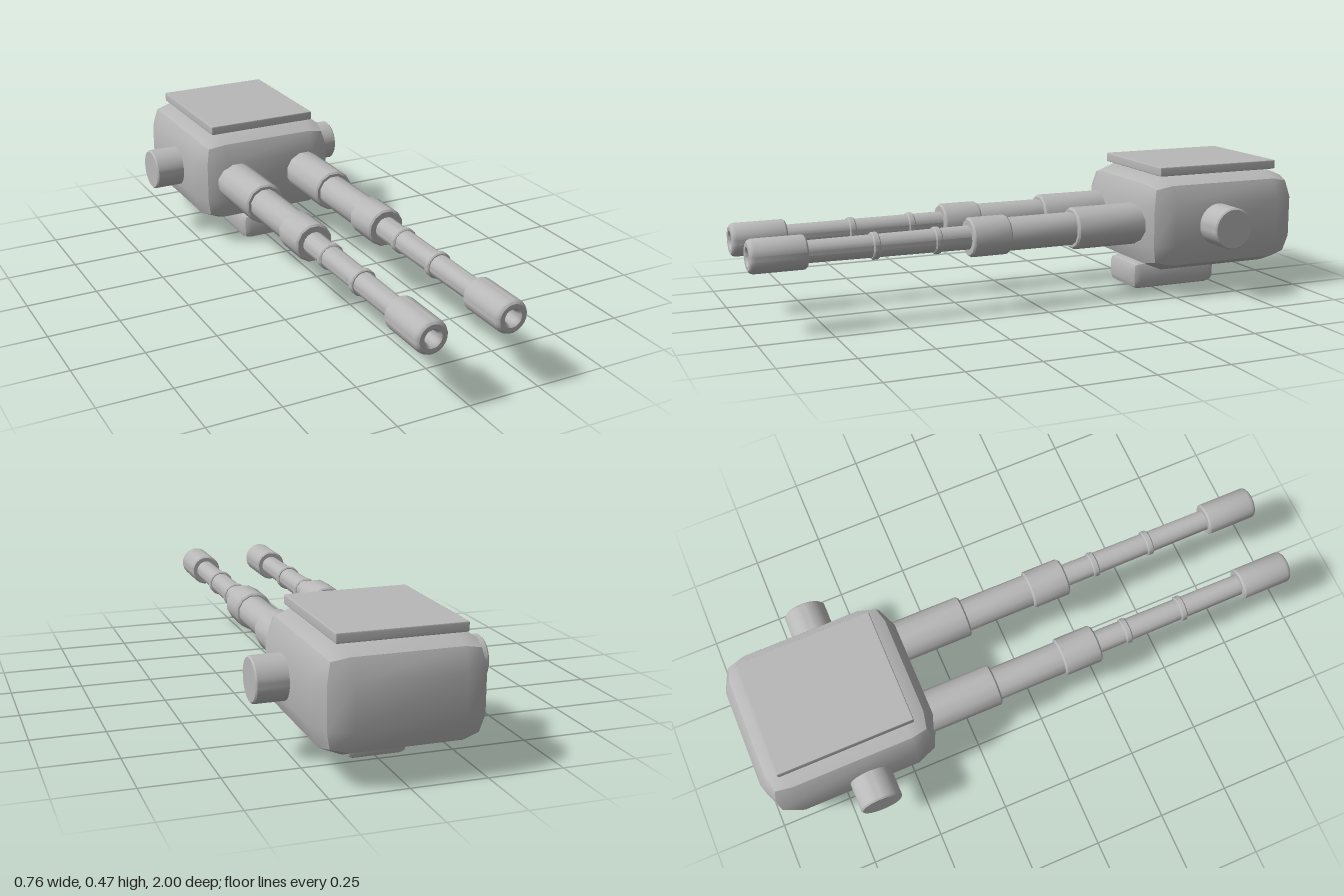
import * as THREE from 'three';
import { toCreasedNormals } from 'three/addons/utils/BufferGeometryUtils.js';

const steel = new THREE.MeshStandardMaterial({ color: 0xb8b8b8 });
steel.name = 'grey steel';

// Box with a two-step bevel: shading is soft within each face, sharp at the mid-bevel edge
function bevelBox(w, h, d, r) {
  const geo = new THREE.BoxGeometry(1, 1, 1, 3, 3, 3);
  const p = geo.attributes.position;
  const inner = new THREE.Vector3(w / 2 - r, h / 2 - r, d / 2 - r);
  const v = new THREE.Vector3();
  const dir = new THREE.Vector3();
  for (let i = 0; i < p.count; i++) {
    v.fromBufferAttribute(p, i);
    const edge = (c) => (Math.abs(c) > 0.4 ? Math.sign(c) : 0);
    const core = new THREE.Vector3(Math.sign(v.x), Math.sign(v.y), Math.sign(v.z)).multiply(inner);
    dir.set(edge(v.x), edge(v.y), edge(v.z)).normalize();
    v.copy(core).addScaledVector(dir, r);
    p.setXYZ(i, v.x, v.y, v.z);
  }
  geo.computeVertexNormals();
  return geo;
}

// Turned part along +z; profile points are [radius, z]
function turned(profile, sides) {
  const geo = new THREE.LatheGeometry(profile.map(([r, z]) => new THREE.Vector2(r, z)), sides, Math.PI / sides);
  geo.rotateX(Math.PI / 2);
  return toCreasedNormals(geo, 0.6);
}

// Capped sleeve with small chamfers
function sleeve(r, z0, z1, c = 0.006) {
  return [[0, z0], [r - c, z0], [r, z0 + c], [r, z1 - c], [r - c, z1], [0, z1]];
}

function add(parent, name, geo, x = 0, y = 0, z = 0) {
  const mesh = new THREE.Mesh(geo, steel);
  mesh.name = name;
  mesh.position.set(x, y, z);
  parent.add(mesh);
  return mesh;
}

export function createModel() {
  const model = new THREE.Group();
  model.name = 'twinGunMount';

  // Housing, roof plate and underside block
  add(model, 'housing', bevelBox(0.552, 0.345, 0.622, 0.1), 0, 0.2625, -0.689);
  add(model, 'roofPlate', bevelBox(0.415, 0.033, 0.48, 0.005), 0, 0.4505, -0.69);
  add(model, 'undersideBlock', bevelBox(0.206, 0.103, 0.345, 0.03), 0, 0.0525, -0.58);

  for (const side of [-1, 1]) {
    const name = side > 0 ? 'left' : 'right';

    // Side pivot
    const pivot = add(model, name + 'Pivot', turned(sleeve(0.074, 0.2, 0.381, 0.005), 32), 0, 0.2625, -0.65);
    pivot.rotation.y = side * Math.PI / 2;

    // Stepped barrel
    const barrel = new THREE.Group();
    barrel.name = name + 'Barrel';
    barrel.position.set(side * 0.139, 0.2625, 0);
    model.add(barrel);
    add(barrel, 'baseSleeve', turned(sleeve(0.074, -0.42, -0.133), 12));
    add(barrel, 'recoilTube', turned(sleeve(0.058, -0.15, 0.12), 12));
    add(barrel, 'middleSleeve', turned(sleeve(0.068, 0.112, 0.252), 12));
    add(barrel, 'tube', turned([[0, 0.24], [0.041, 0.24], [0.037, 0.83], [0, 0.83]], 16));
    for (const z of [0.367, 0.582]) add(barrel, 'ring', turned(sleeve(0.046, z - 0.012, z + 0.012, 0.004), 16));

    // Muzzle with an open bore
    add(barrel, 'muzzle', turned([
      [0, 0.812], [0.052, 0.812], [0.057, 0.818], [0.057, 0.985], [0.053, 0.995], [0.046, 1],
      [0.032, 1], [0.027, 0.996], [0.023, 0.985], [0.021, 0.9], [0, 0.9],
    ], 20));
  }
  return model;
}
